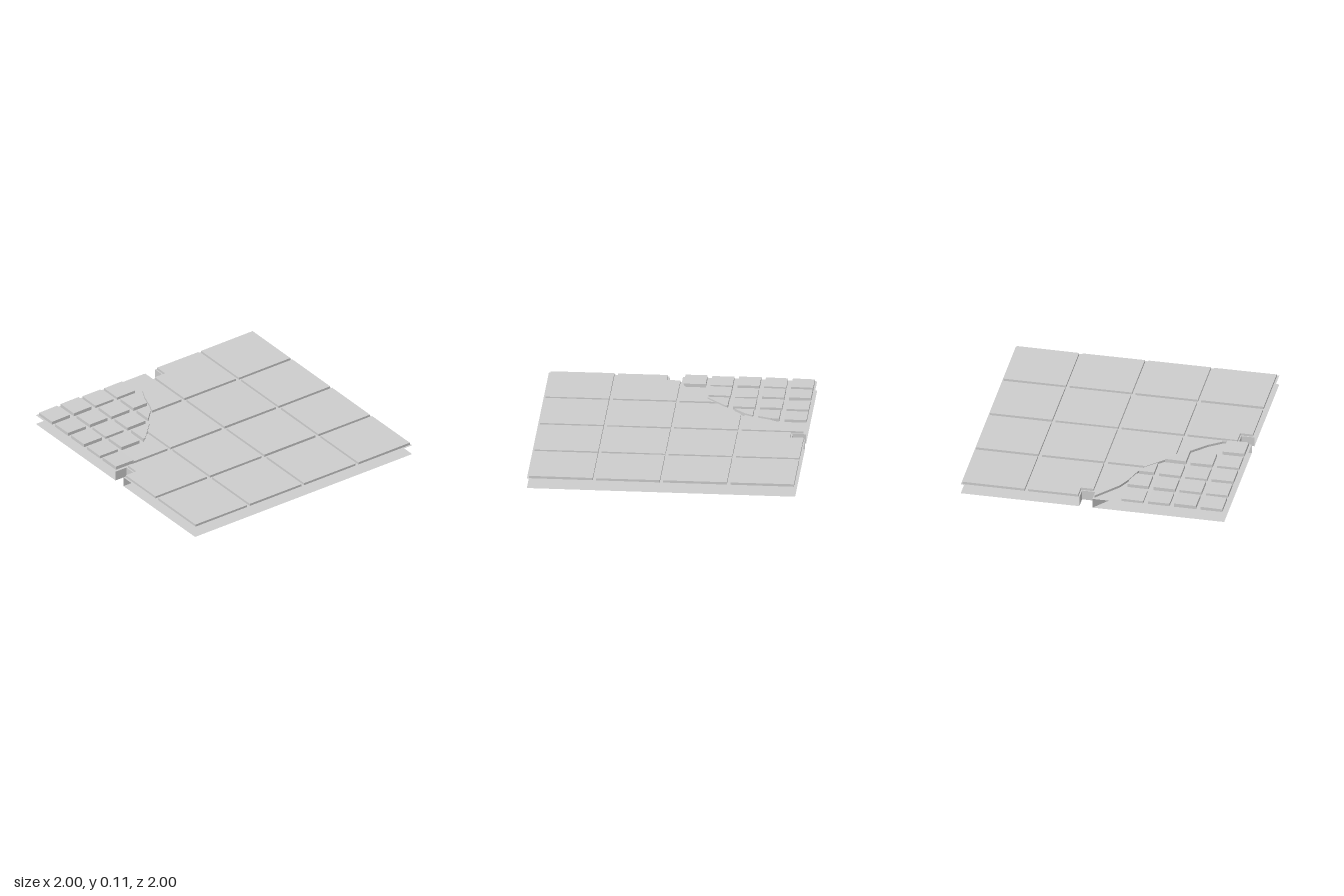
import * as THREE from 'three';

const FLOOR = 0.076; // height of the paving bed

// Small seeded generator for the uneven stones
function makeRandom(seed) {
  let s = seed;
  return () => (s = (s * 16807) % 2147483647) / 2147483647;
}

// Outline given as [x, z] pairs
function outline(points) {
  return new THREE.Shape(points.map(([x, z]) => new THREE.Vector2(x, -z)));
}

const rect = (x0, z0, x1, z1) => [[x0, z0], [x1, z0], [x1, z1], [x0, z1]];

export function createModel() {
  const group = new THREE.Group();
  const stone = new THREE.MeshStandardMaterial({ color: 0xcccccc, side: THREE.DoubleSide });
  stone.name = 'paleStone';
  const random = makeRandom(77);

  function add(name, geometry) {
    const mesh = new THREE.Mesh(geometry, stone);
    mesh.name = name;
    group.add(mesh);
  }

  // Flat sheet at height y
  function sheet(name, points, y) {
    const g = new THREE.ShapeGeometry(outline(points));
    g.rotateX(-Math.PI / 2);
    g.translate(0, y, 0);
    add(name, g);
  }

  // Raised stone with a slightly sloping top
  function slab(name, points, top, slope) {
    const g = new THREE.ExtrudeGeometry(outline(points), { depth: top - FLOOR, bevelEnabled: false });
    g.rotateX(-Math.PI / 2);
    g.translate(0, FLOOR, 0);
    g.computeBoundingBox();
    const c = g.boundingBox.getCenter(new THREE.Vector3());
    const a = (random() - 0.5) * slope, b = (random() - 0.5) * slope;
    const p = g.attributes.position;
    for (let i = 0; i < p.count; i++) {
      if (p.getY(i) > c.y) p.setY(i, p.getY(i) + a * (p.getX(i) - c.x) + b * (p.getZ(i) - c.z));
    }
    g.computeVertexNormals();
    add(name, g);
  }

  // Upright strip following a path of [x, z] points
  function wall(name, path) {
    const v = [];
    for (let i = 0; i + 1 < path.length; i++) {
      const [ax, az] = path[i], [bx, bz] = path[i + 1];
      v.push(ax, 0, az, bx, 0, bz, bx, FLOOR, bz, ax, 0, az, bx, FLOOR, bz, ax, FLOOR, az);
    }
    const g = new THREE.BufferGeometry();
    g.setAttribute('position', new THREE.Float32BufferAttribute(v, 3));
    g.computeVertexNormals();
    add(name, g);
  }

  // Underside and paving bed, both with two edge notches
  const sideNotch = [[-1, 0], [-0.9, 0], [-0.9, -0.1], [-1, -0.1]];
  const frontNotch = [[0.1, 1], [0.1, 0.9], [0, 0.9], [0, 1]];
  const base = [[-1, -1], [1, -1], [1, 1], ...frontNotch, [-1, 1], ...sideNotch];
  sheet('underside', base, 0);
  sheet('pavingBed', base, FLOOR);
  wall('sideNotchWall', sideNotch);
  wall('frontNotchWall', frontNotch);

  // Inner wall along the broken edge between the two pavings
  const crack = [[-1, 0], [-0.9, 0.08], [-0.8, 0.17], [-0.7, 0.22], [-0.58, 0.26], [-0.5, 0.3],
    [-0.38, 0.42], [-0.22, 0.58], [-0.1, 0.7], [-0.03, 0.8], [0, 0.9]];
  wall('crackWall', crack);

  // Large slabs: a four by four grid, some cut by the crack or notches
  const cutSlabs = {
    '0,1': [[-0.99, -0.49], [-0.518, -0.49], [-0.518, -0.015], [-0.89, -0.015], [-0.89, -0.11], [-0.99, -0.11]],
    '0,2': [[-0.98, 0.01], [-0.518, 0.01], [-0.518, 0.285], [-0.58, 0.255], [-0.7, 0.215], [-0.8, 0.165]],
    '1,2': [[-0.49, 0.01], [-0.015, 0.01], [-0.015, 0.483], [-0.31, 0.483], [-0.49, 0.3]],
    '1,3': [[-0.28, 0.51], [-0.015, 0.51], [-0.015, 0.83], [-0.03, 0.79], [-0.1, 0.69]],
    '2,3': [[0.01, 0.51], [0.483, 0.51], [0.483, 0.985], [0.11, 0.985], [0.11, 0.89], [0.01, 0.89]],
    '0,3': null,
  };
  for (let row = 0; row < 4; row++) {
    for (let col = 0; col < 4; col++) {
      const key = `${col},${row}`;
      const x = -0.99 + col * 0.5, z = -0.99 + row * 0.5;
      const points = key in cutSlabs ? cutSlabs[key] : rect(x, z, x + 0.474, z + 0.474);
      if (points) slab('largeSlab', points, 0.094, 0.008);
    }
  }

  // Small cobbles filling the broken corner
  const cutCobbles = {
    '1,0': [[-0.78, 0.22], [-0.72, 0.22], [-0.62, 0.255], [-0.62, 0.38], [-0.78, 0.38]],
    '2,0': [[-0.58, 0.265], [-0.52, 0.295], [-0.435, 0.38], [-0.58, 0.38]],
    '3,1': [[-0.38, 0.42], [-0.365, 0.42], [-0.22, 0.565], [-0.22, 0.58], [-0.38, 0.58]],
  };
  const cobblesPerRow = [3, 4, 4, 5];
  cobblesPerRow.forEach((count, row) => {
    for (let col = 0; col < count; col++) {
      const x = -0.985 + col * 0.2, z = 0.217 + row * 0.2;
      const points = cutCobbles[`${col},${row}`] || rect(x, z, x + 0.165, z + 0.165);
      slab('cobble', points, 0.095 + random() * 0.01, 0.03);
    }
  });

  return group;
}
